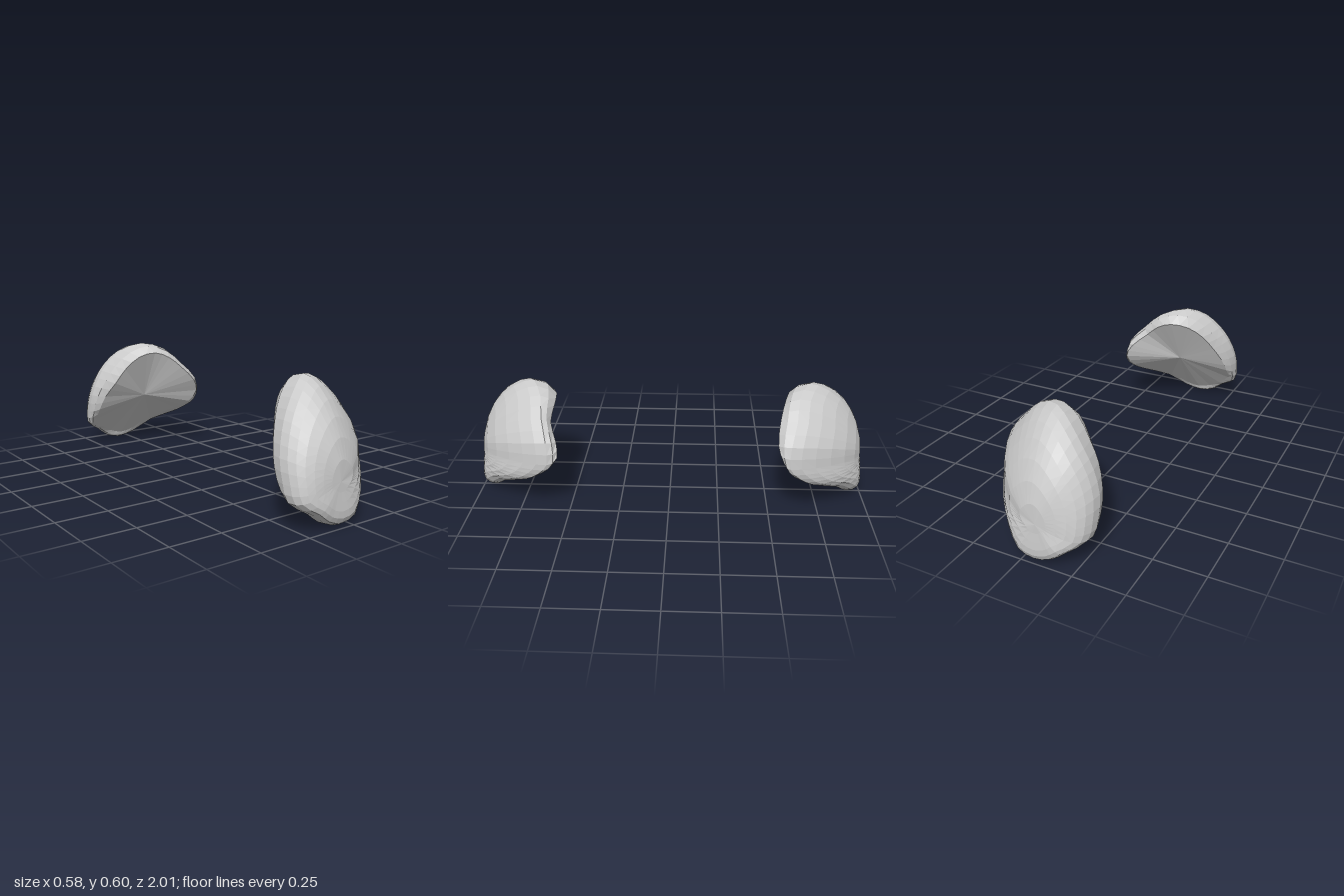
import * as THREE from 'three';

const SEG = 36; // points around each ring

// Widest outline of a pad, counterclockwise from its right-hand tip
const OUTLINE = [
  [0.291, 0.28, 0.59], [0.275, 0.39, 0.59], [0.19, 0.485, 0.62], [0.1, 0.565, 0.635], [-0.02, 0.6, 0.69],
  [-0.12, 0.56, 0.75], [-0.2, 0.48, 0.79], [-0.25, 0.4, 0.82], [-0.285, 0.3, 0.85], [-0.292, 0.2, 0.88],
  [-0.28, 0.123, 0.9], [-0.2, 0.068, 0.93], [-0.14, 0.022, 0.93], [-0.06, 0, 0.93], [0.033, 0.02, 0.92],
  [0.13, 0.098, 0.85], [0.238, 0.17, 0.71], [0.275, 0.22, 0.64],
];

// Edge of the hollow inner face, matching the outline point by point
const LOWER_RIM = [
  [-0.12, 0.05, 0.91], [-0.05, 0.03, 0.91], [0.02, 0.05, 0.89],
  [0.1, 0.12, 0.82], [0.2, 0.19, 0.69], [0.25, 0.24, 0.6],
];
const FRONT_RIM = [
  [0.275, 0.31, 0.54], [0.24, 0.38, 0.545], [0.16, 0.45, 0.58], [0.09, 0.51, 0.57], [0.01, 0.54, 0.57],
  [-0.08, 0.52, 0.61], [-0.15, 0.46, 0.66], [-0.2, 0.38, 0.71], [-0.24, 0.3, 0.755], [-0.26, 0.22, 0.8],
  [-0.25, 0.15, 0.86], [-0.19, 0.09, 0.89], ...LOWER_RIM,
];
const BACK_RIM = [
  [0.275, 0.31, 0.555], [0.24, 0.38, 0.53], [0.16, 0.46, 0.54], [0.09, 0.52, 0.56], [0.01, 0.55, 0.585],
  [-0.08, 0.53, 0.61], [-0.15, 0.46, 0.65], [-0.2, 0.38, 0.68], [-0.24, 0.3, 0.73], [-0.26, 0.22, 0.77],
  [-0.25, 0.15, 0.83], [-0.19, 0.09, 0.88], ...LOWER_RIM,
];
// The back pad curls in more at its left edge
const BACK_OUTLINE = OUTLINE.map(([x, y, z]) => [x, y, z + 0.4 * Math.min(0, x + 0.19)]);

function sampleLoop(points) {
  const curve = new THREE.CatmullRomCurve3(points.map((p) => new THREE.Vector3(...p)), true);
  return Array.from({ length: SEG }, (_, j) => curve.getPoint(j / SEG));
}

// Rings run from the dome's crown over the outline and rim to the hollow's centre
function padRings(outlinePoints, rimPoints) {
  const outline = sampleLoop(outlinePoints);
  const rim = sampleLoop(rimPoints);
  const hollow = new THREE.Vector3(0, 0.29, 0.7);
  const rings = [];

  // Domed outer face, crowned low and to the left
  for (let i = 0; i <= 7; i++) {
    const a = (i / 7) * Math.PI / 2;
    const s = Math.sin(a);
    rings.push(outline.map((p) => {
      const x = THREE.MathUtils.lerp(-0.08, p.x, s);
      const y = THREE.MathUtils.lerp(0.2, p.y, s);
      const z = THREE.MathUtils.lerp(0.795, p.z, s * s);
      return new THREE.Vector3(x, y, z + 0.2 * Math.cos(a));
    }));
  }
  // Rounded edge
  rings.push(outline.map((p, j) => {
    const v = p.clone().lerp(rim[j], 0.28);
    v.z = THREE.MathUtils.lerp(p.z, rim[j].z, 0.6);
    return v;
  }));
  // Shallow hollow face
  for (const t of [0, 0.3, 0.65, 1]) rings.push(rim.map((p) => p.clone().lerp(hollow, t)));
  return rings;
}

function padGeometry(rings, side) {
  const positions = rings.flat().flatMap((v) => [v.x, v.y, v.z * side]);
  const index = [];
  const tri = (a, b, c) => (side > 0 ? index.push(a, b, c) : index.push(a, c, b));
  for (let i = 0; i < rings.length - 1; i++) {
    for (let j = 0; j < SEG; j++) {
      const k = (j + 1) % SEG;
      const a = i * SEG + j, b = a + SEG, c = (i + 1) * SEG + k, d = i * SEG + k;
      if (i < rings.length - 2) tri(a, b, c);
      else tri(a, b, d);
      if (i > 0 && i < rings.length - 2) tri(a, c, d);
    }
  }
  const geometry = new THREE.BufferGeometry();
  geometry.setAttribute('position', new THREE.Float32BufferAttribute(positions, 3));
  geometry.setIndex(index);
  geometry.computeVertexNormals();
  return geometry;
}

export function createModel() {
  const group = new THREE.Group();
  group.name = 'padPair';
  const material = new THREE.MeshStandardMaterial({ color: 0xcccccc, flatShading: true });

  // Two pads facing away from each other
  const pads = [['frontPad', OUTLINE, FRONT_RIM, 1], ['backPad', BACK_OUTLINE, BACK_RIM, -1]];
  for (const [name, outline, rim, side] of pads) {
    const pad = new THREE.Mesh(padGeometry(padRings(outline, rim), side), material);
    pad.name = name;
    group.add(pad);
  }
  return group;
}
